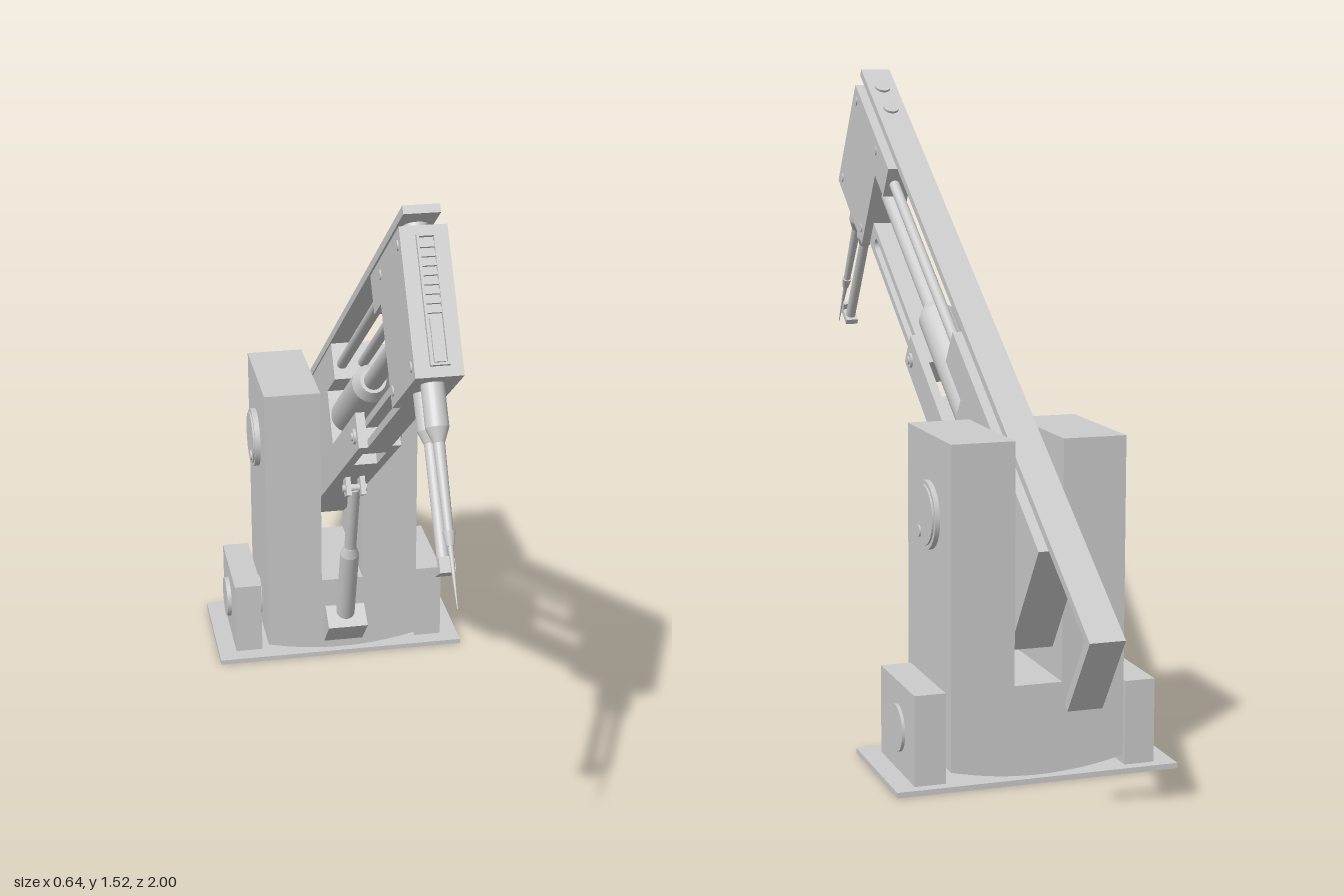
import * as THREE from 'three';

const grey = new THREE.MeshStandardMaterial({ color: 0xcccccc });
const CX = 0.005; // middle of the arm in x

function add(parent, name, geo) {
  const mesh = new THREE.Mesh(geo, grey);
  mesh.name = name;
  parent.add(mesh);
  return mesh;
}

// Box given by its limits on each axis
function box(parent, name, [x0, x1], [y0, y1], [z0, z1]) {
  const mesh = add(parent, name, new THREE.BoxGeometry(x1 - x0, y1 - y0, z1 - z0));
  mesh.position.set((x0 + x1) / 2, (y0 + y1) / 2, (z0 + z1) / 2);
  return mesh;
}

// Round rod from a to b, with radius ra at a and rb at b
function rod(parent, name, a, b, ra, rb = ra) {
  const p = new THREE.Vector3(...a), q = new THREE.Vector3(...b);
  const mesh = add(parent, name, new THREE.CylinderGeometry(rb, ra, p.distanceTo(q), 28));
  mesh.position.copy(p).lerp(q, 0.5);
  mesh.quaternion.setFromUnitVectors(new THREE.Vector3(0, 1, 0), q.sub(p).normalize());
  return mesh;
}

// Side profile in (z, y), extruded from x0 to x1
function plate(parent, name, shape, x0, x1) {
  const geo = new THREE.ExtrudeGeometry(shape, { depth: x1 - x0, bevelEnabled: false, curveSegments: 10 });
  geo.rotateY(-Math.PI / 2).translate(x1, 0, 0);
  return add(parent, name, geo);
}

const poly = (pts) => new THREE.Shape(pts.map(([a, b]) => new THREE.Vector2(a, b)));

function buildStand(g) {
  box(g, 'basePlate', [-0.32, 0.32], [0, 0.012], [-0.62, -0.3]);

  // U-shaped yoke with a rocker underside
  const s = new THREE.Shape();
  s.moveTo(-0.192, 0.745);
  s.lineTo(-0.192, 0.042);
  s.quadraticCurveTo(0.004, -0.006, 0.2, 0.042);
  s.lineTo(0.2, 0.745);
  s.lineTo(0.058, 0.745);
  s.lineTo(0.058, 0.218);
  s.lineTo(-0.05, 0.218);
  s.lineTo(-0.05, 0.745);
  s.closePath();
  const geo = new THREE.ExtrudeGeometry(s, { depth: 0.305, bevelEnabled: false, curveSegments: 16 });
  add(g, 'yoke', geo.translate(0, 0, -0.615));

  // Main pivot with end caps and off-centre studs
  const py = 0.57, pz = -0.467;
  rod(g, 'pivotShaft', [-0.206, py, pz], [0.211, py, pz], 0.075);
  rod(g, 'pivotCaps', [-0.21, py, pz], [0.215, py, pz], 0.066);
  rod(g, 'pivotStuds', [-0.214, py - 0.04, pz + 0.025], [0.219, py - 0.04, pz + 0.025], 0.013);

  // Tilt bearings either side of the yoke
  for (const [side, h] of [[-1, 0.2], [1, 0.21]]) {
    const x = side * 0.205, x2 = side * 0.274;
    box(g, 'bearingBlock', [Math.min(x, x2), Math.max(x, x2)], [0.012, h], [-0.595, -0.343]);
  }
  rod(g, 'tiltAxle', [-0.285, 0.107, -0.475], [0.281, 0.107, -0.475], 0.052);
}

function buildLiftRam(g) {
  plate(g, 'ramFoot', poly([[-0.316, 0.032], [-0.23, 0.118], [-0.284, 0.155], [-0.316, 0.14]]), -0.045, 0.057);
  rod(g, 'ramCylinder', [CX, 0.12, -0.278], [CX, 0.345, -0.203], 0.024);
  rod(g, 'ramCollar', [CX, 0.345, -0.203], [CX, 0.37, -0.194], 0.024, 0.015);
  rod(g, 'ramRod', [CX, 0.37, -0.194], [CX, 0.56, -0.134], 0.015);
  for (const x of [CX - 0.024, CX + 0.012]) {
    plate(g, 'ramClevis', poly([[-0.1, 0.557], [-0.14, 0.535], [-0.168, 0.575], [-0.128, 0.6]]), x, x + 0.012);
  }
  rod(g, 'ramPin', [CX - 0.03, 0.562, -0.132], [CX + 0.03, 0.562, -0.132], 0.009);
}

// The arm is built flat along +z with the pivot at its origin, then tilted up
function buildArm(g) {
  const W = [-0.043, 0.055];

  // Rear body with upper and lower front lugs
  plate(g, 'armBody', poly([[-0.25, -0.173], [0.305, -0.173], [0.305, 0.043], [0.436, 0.043],
    [0.436, 0.132], [-0.25, 0.132]]), ...W);
  for (const [x0, x1] of [[W[0], -0.022], [0.034, W[1]]]) {
    box(g, 'lowerFork', [x0, x1], [-0.173, -0.09], [0.3, 0.68]);
  }
  box(g, 'lowerForkWeb', [-0.022, 0.034], [-0.173, -0.09], [0.3, 0.46]);
  rod(g, 'forkPin', [W[0] - 0.006, -0.138, 0.643], [W[1] + 0.006, -0.138, 0.643], 0.018);
  rod(g, 'forkPinTip', [W[0] - 0.01, -0.138, 0.643], [W[1] + 0.01, -0.138, 0.643], 0.01);

  // Slotted lower link
  const link = poly([[0.6, -0.173], [1.145, -0.173], [1.145, -0.108], [0.6, -0.108]]);
  const slot = new THREE.Path();
  slot.moveTo(0.67, -0.155);
  slot.lineTo(1.09, -0.155);
  slot.absarc(1.09, -0.14, 0.015, -Math.PI / 2, Math.PI / 2, false);
  slot.lineTo(0.67, -0.125);
  slot.closePath();
  link.holes.push(slot);
  plate(g, 'lowerLink', link, -0.022, 0.034);

  // Upper guide rods and central piston
  for (const x of [CX - 0.026, CX + 0.026]) rod(g, 'guideRod', [x, 0.081, 0.42], [x, 0.081, 1.07], 0.013);
  rod(g, 'pistonCylinder', [CX, -0.02, 0.29], [CX, -0.02, 0.66], 0.045);
  rod(g, 'pistonShoulder', [CX, -0.02, 0.66], [CX, -0.02, 0.69], 0.045, 0.03);
  rod(g, 'pistonRod', [CX, -0.02, 0.69], [CX, -0.02, 1.15], 0.022);

  // Long top rail with its down-turned tail
  plate(g, 'topRail', poly([[-0.53, -0.038], [-0.509, -0.038], [-0.509, 0.15], [1.43, 0.15],
    [1.43, 0.168], [-0.53, 0.168]]), -0.034, 0.042);

  // Head
  plate(g, 'head', poly([[1.14, -0.177], [1.416, -0.177], [1.416, 0.13], [1.053, 0.13],
    [1.053, 0.045], [1.14, 0.045]]), ...W);
  for (const z of [1.255, 1.347]) {
    rod(g, 'railSpacer', [CX, 0.125, z], [CX, 0.152, z], 0.026);
    rod(g, 'railScrew', [CX, 0.16, z], [CX, 0.174, z], 0.02);
  }
  for (const z of [1.17, 1.386]) for (const y of [-0.147, 0.1]) {
    rod(g, 'headBolt', [W[0] - 0.003, y, z], [W[1] + 0.003, y, z], 0.011);
  }

  // Ribbed strip on the front of the head
  const sx = 0.008;
  for (const x of [sx - 0.02, sx + 0.015]) box(g, 'stripFrame', [x, x + 0.005], [-0.155, 0.11], [1.41, 1.427]);
  for (const y of [-0.155, 0.105]) box(g, 'stripEnd', [sx - 0.02, sx + 0.02], [y, y + 0.005], [1.41, 1.427]);
  for (let i = 0; i < 8; i++) {
    const y = -0.05 + i * 0.019;
    box(g, 'stripRib', [sx - 0.015, sx + 0.015], [y, y + 0.011], [1.41, 1.424]);
  }
  box(g, 'stripSlider', [sx - 0.011, sx + 0.011], [-0.148, -0.06], [1.41, 1.424]);

  // Needle tool and hook tool below the head
  const t1 = 1.354, t2 = 1.27, x = 0.002;
  rod(g, 'needleHolder', [x, -0.17, t1], [x, -0.265, t1], 0.024);
  rod(g, 'needleHolderTaper', [x, -0.265, t1], [x, -0.295, t1], 0.024, 0.012);
  rod(g, 'needleShank', [x, -0.295, t1], [x, -0.48, t1], 0.012, 0.009);
  rod(g, 'needleCollar', [x, -0.47, t1], [x, -0.5, t1], 0.013, 0.008);
  rod(g, 'needle', [x, -0.5, t1], [x, -0.622, t1], 0.006, 0.001);
  rod(g, 'hookHolder', [x, -0.17, t2], [x, -0.255, t2], 0.024);
  rod(g, 'hookHolderTaper', [x, -0.255, t2], [x, -0.28, t2], 0.024, 0.014);
  rod(g, 'hookShank', [x, -0.28, t2], [x, -0.535, t2], 0.013);
  box(g, 'hookFoot', [x - 0.016, x + 0.016], [-0.545, -0.53], [1.248, 1.305]);
  box(g, 'hookTip', [x - 0.016, x + 0.016], [-0.53, -0.512], [1.293, 1.305]);
}

export function createModel() {
  const model = new THREE.Group();
  model.name = 'armMachine';
  const stand = new THREE.Group();
  stand.name = 'stand';
  buildStand(stand);
  const ram = new THREE.Group();
  ram.name = 'liftRam';
  buildLiftRam(ram);
  const arm = new THREE.Group();
  arm.name = 'arm';
  buildArm(arm);
  arm.position.set(0, 0.57, -0.467);
  arm.rotation.x = -THREE.MathUtils.degToRad(34.6);
  model.add(stand, ram, arm);
  return model;
}
